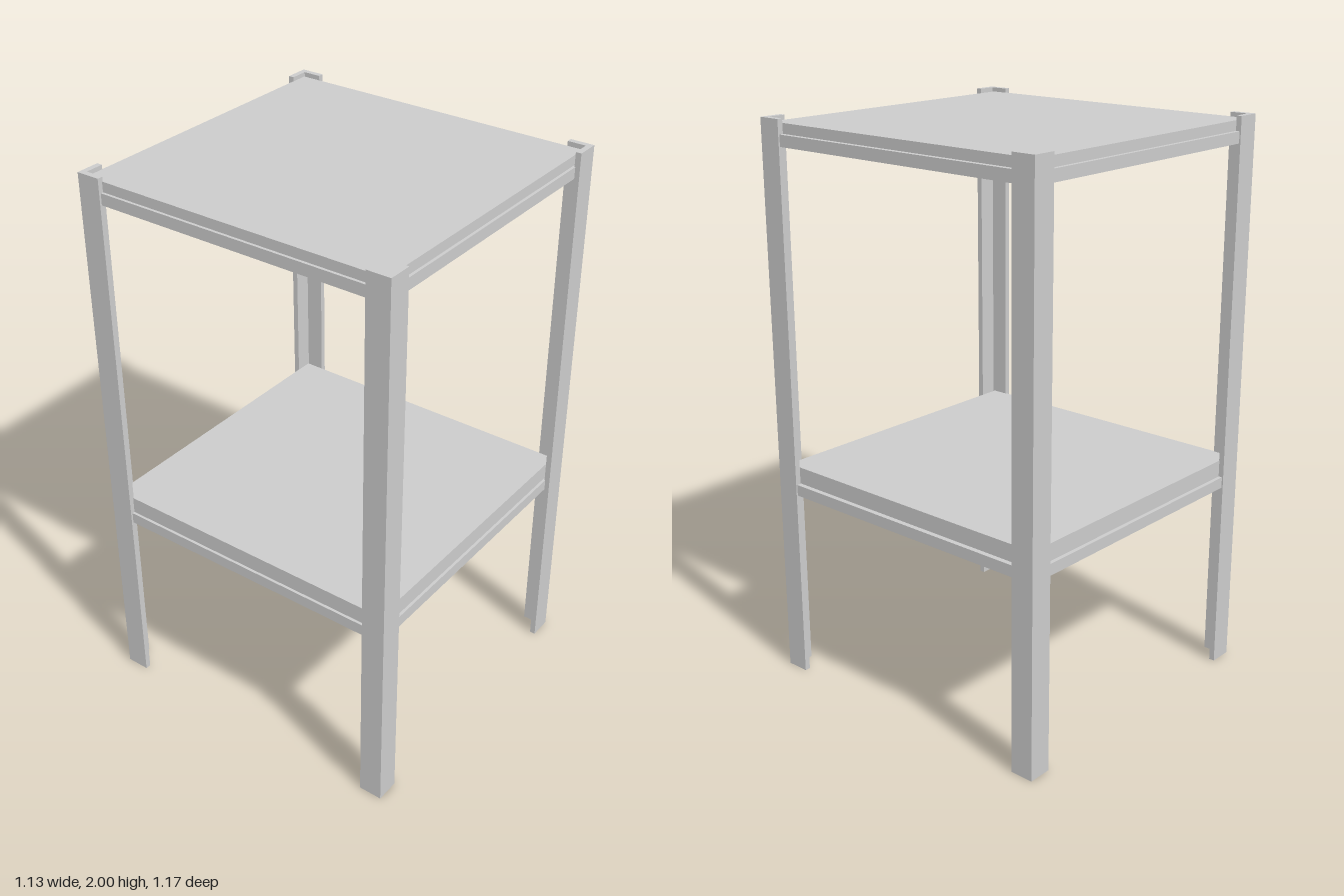
import * as THREE from 'three';

const material = new THREE.MeshStandardMaterial({ color: 0xcccccc, flatShading: true });

// Angle-iron bar: L section with its outer corner at (0,0), arms along sx and sy
function angleBar(sx, sy, arm, t, length) {
  const shape = new THREE.Shape(
    [[0, 0], [arm, 0], [arm, t], [t, t], [t, arm], [0, arm]]
      .map(([x, y]) => new THREE.Vector2(x * sx, y * sy))
  );
  return new THREE.ExtrudeGeometry(shape, { depth: length, bevelEnabled: false });
}

function addMesh(parent, name, geometry, x, y, z) {
  const mesh = new THREE.Mesh(geometry, material);
  mesh.name = name;
  mesh.position.set(x, y, z);
  parent.add(mesh);
  return mesh;
}

// Board resting on a rectangle of angle-iron rails
function createShelf(name, railTop, boardThickness) {
  const shelf = new THREE.Group();
  shelf.name = name;
  addMesh(shelf, 'board', new THREE.BoxGeometry(1.09, boardThickness, 1.124),
    -0.003, railTop + boardThickness / 2, -0.004);

  const rails = [
    ['leftRail', 0.56, -0.005, 0, 1.14],
    ['backRail', 0, -0.58, Math.PI / 2, 1.1],
    ['rightRail', -0.558, -0.005, Math.PI, 1.14],
    ['frontRail', 0, 0.568, -Math.PI / 2, 1.1],
  ];
  for (const [railName, x, z, turn, length] of rails) {
    const geometry = angleBar(-1, -1, 0.04, 0.012, length);
    geometry.translate(0, 0, -length / 2);
    addMesh(shelf, railName, geometry, x, railTop, z).rotation.y = turn;
  }
  return shelf;
}

export function createModel() {
  const model = new THREE.Group();
  model.name = 'shelfStand';

  // Four corner legs, arms turned inwards
  for (const sx of [-1, 1]) {
    for (const sz of [-1, 1]) {
      const geometry = angleBar(-sx, sz, 0.085, 0.02, 2);
      geometry.rotateX(-Math.PI / 2);
      const name = (sz > 0 ? 'front' : 'back') + (sx > 0 ? 'Left' : 'Right') + 'Leg';
      addMesh(model, name, geometry, sx * 0.565, 0, sz * 0.585);
    }
  }

  model.add(createShelf('topShelf', 1.95, 0.035));
  model.add(createShelf('lowerShelf', 0.73, 0.06));
  return model;
}
